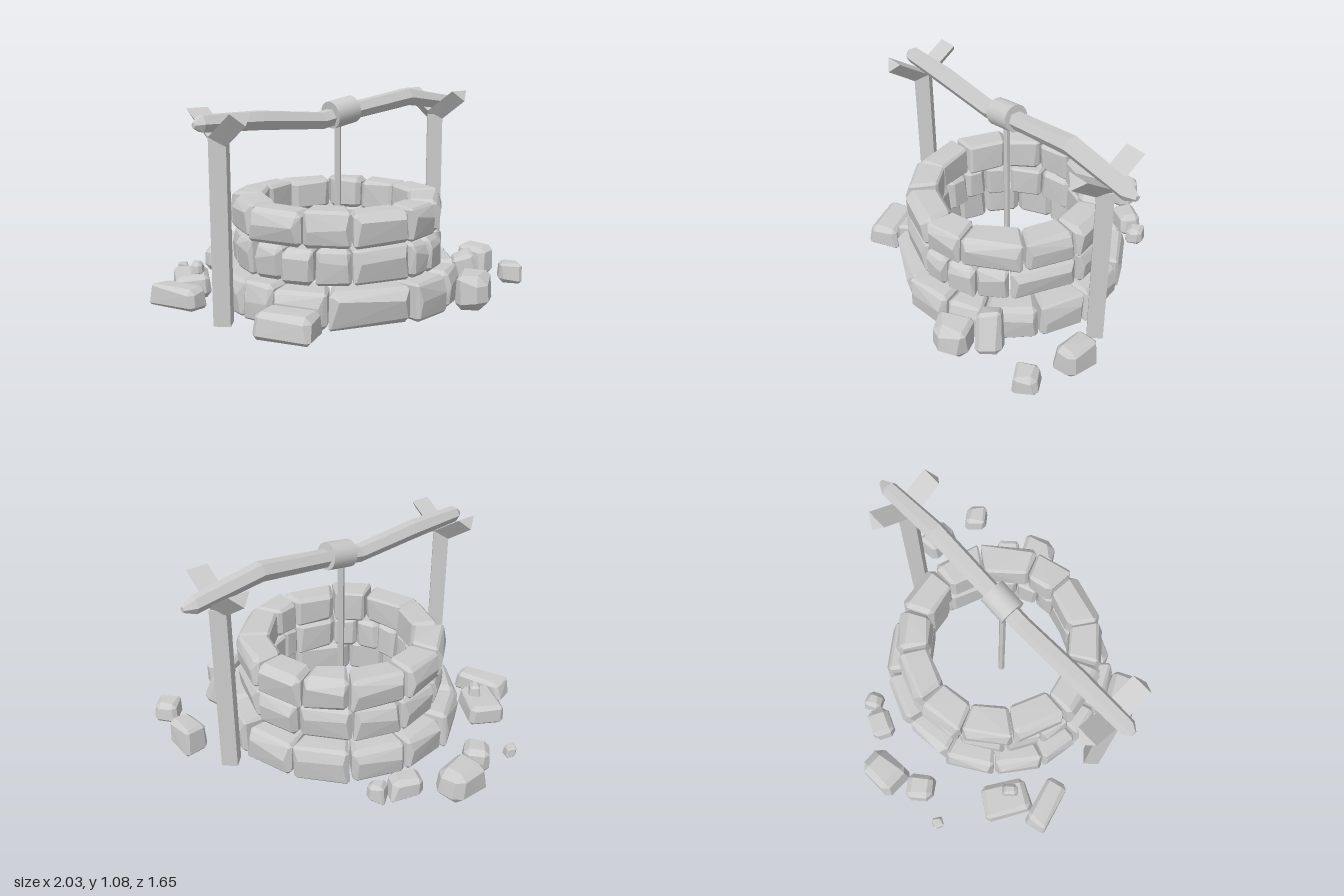
import * as THREE from 'three';
import { ConvexGeometry } from 'three/addons/geometries/ConvexGeometry.js';

const stoneMat = new THREE.MeshStandardMaterial({ color: 0xcccccc, flatShading: true });
const smoothMat = new THREE.MeshStandardMaterial({ color: 0xcccccc });
const DEG = Math.PI / 180;

let seed = 11;
function rand() {
  seed = (seed * 16807) % 2147483647;
  return seed / 2147483647;
}
const jitter = (a) => (rand() * 2 - 1) * a;

function add(parent, name, geometry, material = stoneMat) {
  const mesh = new THREE.Mesh(geometry, material);
  mesh.name = name;
  parent.add(mesh);
  return mesh;
}

// Hull of eight corners (bit 1, 2, 4 = three axes) with all edges chamfered
function chamferedStone(corners, bevel, extra = []) {
  const pts = [...extra];
  corners.forEach((c, i) => {
    const d = bevel * (0.5 + rand());
    const step = [1, 2, 4].map((b) => corners[i ^ b].clone().sub(c).normalize().multiplyScalar(d));
    for (let k = 0; k < 3; k++) {
      pts.push(c.clone().add(step[k]).add(step[(k + 1) % 3]));
    }
  });
  return new ConvexGeometry(pts);
}

// Ring of wedge stones; joints are angles from +z towards +x
function stoneRing(name, joints, ri, ro, y0, y1) {
  const ring = new THREE.Group();
  ring.name = name;
  joints.forEach((start, n) => {
    const end = n + 1 < joints.length ? joints[n + 1] : joints[0] + 360;
    const a = [start + 0.5, end - 0.5].map((v) => v * DEG);
    const shift = jitter(0.012), top = y1 + jitter(0.008);
    const at = (ang, r, y) => new THREE.Vector3(Math.sin(ang) * r, y, Math.cos(ang) * r);
    const corners = [];
    for (let i = 0; i < 8; i++) {
      const r = (i & 2 ? ro - (i & 4 ? 0.012 : 0) : ri) + shift + jitter(0.008);
      corners.push(at(a[i & 1] + jitter(0.01), r, (i & 4 ? top : y0) + jitter(0.005)));
    }
    // Crease running across the outer face
    const crease = [0.12, 0.88].map((t) => at(a[0] + (a[1] - a[0]) * t,
      ro + shift + 0.004, y0 + (y1 - y0) * (0.62 + jitter(0.15))));
    add(ring, 'wallStone', chamferedStone(corners, 0.019, crease));
  });
  return ring;
}

// Rubble block standing on y0
function looseStone(x, z, w, d, h, yaw, y0 = 0.01, tilt = 0) {
  const corners = [];
  for (let i = 0; i < 8; i++) {
    const s = i & 4 ? 0.88 : 1;
    corners.push(new THREE.Vector3(
      (i & 1 ? 0.5 : -0.5) * w * s * (1 + jitter(0.1)),
      i & 4 ? h * (1 + jitter(0.05)) : 0,
      (i & 2 ? 0.5 : -0.5) * d * s * (1 + jitter(0.1))));
  }
  const geo = chamferedStone(corners, Math.min(w, d, h) * 0.18);
  geo.rotateX(tilt * DEG).rotateY(yaw * DEG).translate(x, y0, z);
  return geo;
}

// Crooked log: hexagonal cylinder with each ring moved to [s, y, radius]
function logGeometry(rings) {
  const n = rings.length - 1;
  const geo = new THREE.CylinderGeometry(1, 1, 1, 6, n);
  const p = geo.attributes.position;
  for (let i = 0; i < p.count; i++) {
    const [s, y, r] = rings[Math.round((p.getY(i) + 0.5) * n)];
    p.setXYZ(i, s, y - p.getX(i) * r, p.getZ(i) * r);
  }
  geo.computeVertexNormals();
  return geo;
}

export function createModel() {
  seed = 11;
  const model = new THREE.Group();
  model.name = 'well';

  // Round stone wall in three courses
  const wall = new THREE.Group();
  wall.name = 'wall';
  wall.position.set(-0.035, 0, 0.035);
  wall.add(
    stoneRing('bottomCourse', [-56, -38, -12, 29, 53, 72, 98, 122, 150, 178, 206, 232, 258, 283], 0.45, 0.64, 0.01, 0.203),
    stoneRing('middleCourse', [-57, -38, -19, 0, 33, 48, 66, 84, 123, 150, 180, 208, 236, 264, 285], 0.39, 0.56, 0.208, 0.388),
    stoneRing('topCourse', [-26, 0, 34, 57, 92, 122, 152, 178, 211, 239, 268, 300], 0.39, 0.56, 0.39, 0.562));
  model.add(wall);

  // Timber frame, turned diagonally across the well
  const frame = new THREE.Group();
  frame.name = 'frame';
  frame.position.set(-0.03, 0, 0.06);
  frame.rotation.y = 33.2 * DEG;
  model.add(frame);

  // Fork arm: triangular section with a flat top and a ridge below
  const armGeo = new ConvexGeometry([
    [0, 0.85, 0], [-0.059, 0.935, 0], [0.059, 0.935, 0],
    [0, 1.0, 0.22], [-0.059, 1.055, 0.18], [0.059, 1.055, 0.18],
  ].map((v) => new THREE.Vector3(...v)));

  for (const side of [-1, 1]) {
    const post = add(frame, 'post', new THREE.BoxGeometry(0.084, 0.92, 0.084));
    post.position.set(side * 0.737, 0.47, 0);
    post.rotation.y = Math.PI / 4;
    for (const turn of [0, Math.PI]) {
      const arm = add(frame, 'forkArm', armGeo);
      arm.position.set(side * 0.737, side > 0 ? 0.015 : -0.01, 0);
      arm.rotation.y = turn;
    }
  }

  // Crooked beam, drum and rope
  add(frame, 'beam', logGeometry([
    [-0.87, 0.985, 0.015], [-0.83, 0.99, 0.045], [-0.5, 0.982, 0.052], [-0.12, 0.953, 0.048],
    [0.1, 0.99, 0.048], [0.5, 1.04, 0.052], [0.87, 0.985, 0.045], [0.93, 0.98, 0.015],
  ]));
  const drum = add(frame, 'drum', new THREE.CylinderGeometry(0.072, 0.072, 0.15, 16), smoothMat);
  drum.position.set(0.02, 0.987, 0);
  drum.rotation.z = -Math.PI / 2 + 9 * DEG;
  const rope = add(frame, 'rope', new THREE.CylinderGeometry(0.018, 0.018, 0.94, 6));
  rope.position.set(0.004, 0.48, -0.01);

  // Fallen stones: x, z, width, depth, height, yaw, base height, tilt
  const rubble = new THREE.Group();
  rubble.name = 'rubble';
  model.add(rubble);
  [
    [-0.55, -0.7, 0.24, 0.18, 0.17, 38],
    [-0.67, -0.52, 0.14, 0.16, 0.14, -15],
    [-0.875, -0.45, 0.06, 0.06, 0.06, 10],
    [-0.27, -0.69, 0.17, 0.13, 0.12, 10],
    [-0.13, -0.71, 0.1, 0.1, 0.1, -25],
    [-0.81, -0.06, 0.2, 0.27, 0.12, 4],
    [-0.78, -0.03, 0.065, 0.085, 0.07, -12, 0.12],
    [-0.87, 0.16, 0.29, 0.13, 0.11, -40],
    [-0.35, 0.69, 0.29, 0.19, 0.13, -28],
    [0.81, -0.2, 0.14, 0.2, 0.16, 35, 0.02],
    [0.93, 0.055, 0.13, 0.13, 0.11, -15, 0.035],
    [0.68, 0.21, 0.14, 0.13, 0.23, 80, 0.03, -20],
    [0.62, 0.39, 0.18, 0.2, 0.18, -25],
  ].forEach((s) => add(rubble, 'looseStone', looseStone(...s)));

  return model;
}
